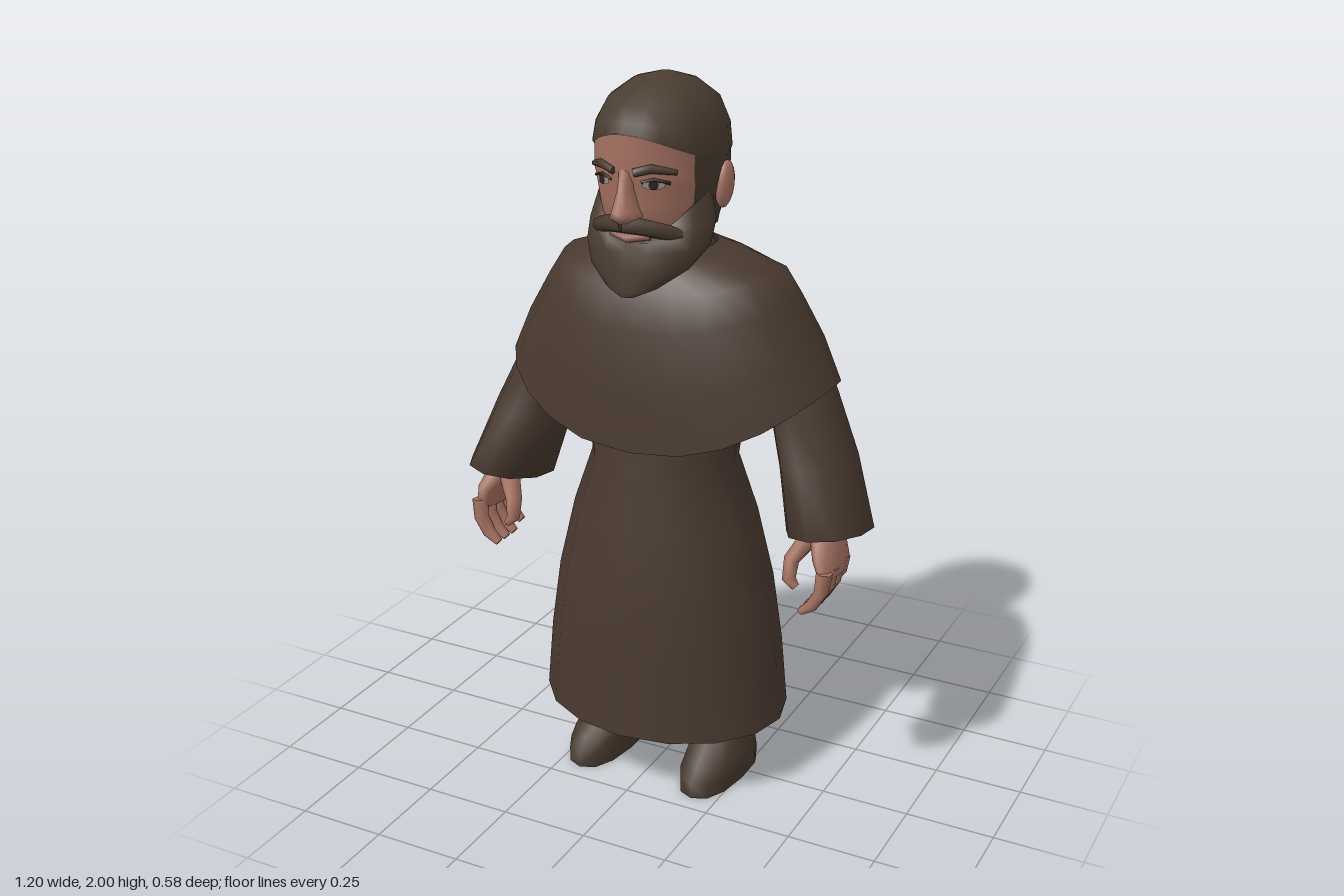
import * as THREE from 'three';

const material = (name, color, side = THREE.FrontSide) => {
  const m = new THREE.MeshStandardMaterial({ color, side });
  m.name = name;
  return m;
};

const uniform = n => Array.from({ length: n }, (_, i) => (i / n) * Math.PI * 2);

// Near-horizontal oval ring. y is a number or [front, side, back] heights.
function ring(angles, { y, rx, zf, zb, cx = 0, cz = 0, p = 1, tx = 0, tz = 0 }) {
  const [yf, ys, yb] = Array.isArray(y) ? y : [y, y, y];
  const pow = v => Math.sign(v) * Math.abs(v) ** p;
  return angles.map(a => {
    const s = Math.sin(a), c = Math.cos(a);
    const dx = rx * pow(s), dz = pow(c) * (c > 0 ? zf - cz : cz - zb);
    return new THREE.Vector3(cx + dx, ys + ((c > 0 ? yf : yb) - ys) * c * c + tx * dx + tz * dz, cz + dz);
  });
}

// Skin over rings listed bottom to top; pick(row, column) chooses a material slot.
function loft(rings, { bottom = false, top = false, pick = () => 0 } = {}) {
  const n = rings[0].length, pos = [], slots = [[], []];
  rings.forEach(r => r.forEach(v => pos.push(v.x, v.y, v.z)));
  for (let i = 0; i < rings.length - 1; i++) for (let j = 0; j < n; j++) {
    const a = i * n + j, b = i * n + (j + 1) % n;
    slots[pick(i, j)].push(a, b, a + n, b, b + n, a + n);
  }
  const cap = (r, up) => {
    const start = pos.length / 3;
    const mid = r.reduce((s, v) => s.add(v), new THREE.Vector3()).divideScalar(n);
    [...r, mid].forEach(v => pos.push(v.x, v.y, v.z));
    for (let j = 0; j < n; j++) {
      const a = start + j, b = start + (j + 1) % n;
      slots[0].push(...(up ? [a, b, start + n] : [b, a, start + n]));
    }
  };
  if (bottom) cap(rings[0], false);
  if (top) cap(rings[rings.length - 1], true);
  const g = new THREE.BufferGeometry();
  g.setAttribute('position', new THREE.Float32BufferAttribute(pos, 3));
  g.setIndex([...slots[0], ...slots[1]]);
  if (slots[1].length) {
    g.addGroup(0, slots[0].length, 0);
    g.addGroup(slots[0].length, slots[1].length, 1);
  }
  g.computeVertexNormals();
  return g;
}

// Tapered tube along points [x, y, z, radiusA, radiusB]; side is the direction of radiusB.
function limb(points, n, side = new THREE.Vector3(0, 0, 1)) {
  const c = points.map(p => new THREE.Vector3(p[0], p[1], p[2]));
  const rings = points.map((p, i) => {
    const t = c[Math.min(i + 1, c.length - 1)].clone().sub(c[Math.max(i - 1, 0)]).normalize();
    const u = t.clone().cross(side).normalize(), v = u.clone().cross(t);
    return uniform(n).map(a => c[i].clone().addScaledVector(u, Math.sin(a) * p[3]).addScaledVector(v, Math.cos(a) * p[4]));
  });
  return loft(rings, { bottom: true, top: true });
}

function mirrored(geometry) {
  const g = geometry.clone().scale(-1, 1, 1), ix = g.index.array;
  for (let i = 0; i < ix.length; i += 3) [ix[i], ix[i + 1]] = [ix[i + 1], ix[i]];
  return g;
}

export function createModel() {
  const robe = material('robe brown', 0x49392f, THREE.DoubleSide);
  const hair = material('hair brown', 0x4a3c30);
  const skin = material('skin', 0xa97464);
  const lip = material('lip', 0x8e5a4e);
  const boot = material('boot brown', 0x46382d);
  const eyeWhite = material('eye white', 0x9a8a80);
  const iris = material('dark iris', 0x2a211c);

  const model = new THREE.Group();
  const add = (name, g, mat) => {
    const m = new THREE.Mesh(g, mat);
    m.name = name;
    model.add(m);
  };
  const pair = (name, g, mat) => {
    add('left' + name, g, mat);
    add('right' + name, mirrored(g), mat);
  };
  const rings = (angles, list) => list.map(r => ring(angles, r));
  const up = new THREE.Vector3(0, 1, 0);

  // Long robe, open at the hem
  add('robe', loft(rings(uniform(16), [
    { y: 0.2, rx: 0.36, zf: 0.288, zb: -0.288 },
    { y: 0.4, rx: 0.342, zf: 0.278, zb: -0.27 },
    { y: 0.6, rx: 0.312, zf: 0.264, zb: -0.25 },
    { y: 0.8, rx: 0.262, zf: 0.24, zb: -0.215 },
    { y: 0.96, rx: 0.205, zf: 0.208, zb: -0.175 },
    { y: 1.08, rx: 0.22, zf: 0.2, zb: -0.19 },
    { y: 1.28, rx: 0.25, zf: 0.17, zb: -0.19 },
    { y: 1.46, rx: 0.18, zf: 0.11, zb: -0.14 },
  ])), robe);

  // Shoulder cape with a curved hem
  add('cape', loft(rings(uniform(24), [
    { y: [1.03, 1.21, 1.035], rx: 0.475, zf: 0.226, zb: -0.26 },
    { y: [1.2, 1.325, 1.22], rx: 0.422, zf: 0.216, zb: -0.255 },
    { y: [1.36, 1.43, 1.38], rx: 0.36, zf: 0.195, zb: -0.218 },
    { y: [1.45, 1.502, 1.47], rx: 0.315, zf: 0.165, zb: -0.18 },
    { y: [1.5, 1.54, 1.54], rx: 0.2, zf: 0.135, zb: -0.145 },
    { y: [1.53, 1.552, 1.57], rx: 0.12, zf: 0.1, zb: -0.12 },
  ].map(r => ({ cz: -0.055, p: 0.88, ...r })))), robe);

  // Collar and neck
  add('collar', loft(rings(uniform(14), [
    { y: [1.5, 1.53, 1.54], rx: 0.14, zf: 0.125, zb: -0.14 },
    { y: [1.55, 1.575, 1.62], rx: 0.108, zf: 0.085, zb: -0.105 },
    { y: [1.52, 1.55, 1.59], rx: 0.09, zf: 0.06, zb: -0.085 },
  ])), robe);
  add('neck', loft(rings(uniform(12), [
    { y: 1.48, rx: 0.1, zf: 0.075, zb: -0.095 },
    { y: 1.7, rx: 0.098, zf: 0.075, zb: -0.095 },
  ])), skin);

  // Wide sleeves, closed inside the cuff
  pair('Sleeve', loft(rings(uniform(10), [
    { cx: 0.475, y: 0.89, cz: 0.015, rx: 0.07, zf: 0.11, zb: -0.08 },
    { cx: 0.495, y: 0.825, cz: 0.01, rx: 0.112, zf: 0.168, zb: -0.15, tx: 0.13, tz: 0.16 },
    { cx: 0.44, y: 1.0, cz: -0.03, rx: 0.1, zf: 0.11, zb: -0.172, tx: 0.25, tz: 0.08 },
    { cx: 0.385, y: 1.15, cz: -0.05, rx: 0.086, zf: 0.07, zb: -0.172, tx: 0.35 },
    { cx: 0.31, y: 1.33, cz: -0.06, rx: 0.085, zf: 0.05, zb: -0.16, tx: 0.3 },
    { cx: 0.24, y: 1.43, cz: -0.06, rx: 0.07, zf: 0.02, zb: -0.13 },
  ]), { bottom: true }), robe);

  // Curled hands
  pair('Palm', limb([
    [0.53, 0.725, 0.07, 0.022, 0.08],
    [0.522, 0.77, 0.065, 0.034, 0.09],
    [0.495, 0.84, 0.035, 0.045, 0.062],
    [0.485, 0.91, 0.03, 0.035, 0.045],
  ], 10), skin);
  for (let k = 0; k < 4; k++) {
    const z = 0.138 - k * 0.042, e = k === 3 ? 0.02 : 0;
    pair('Finger' + (k + 1), limb([
      [0.47, 0.632 + e, z, 0.011, 0.014],
      [0.503, 0.658 + e, z, 0.018, 0.021],
      [0.527, 0.7 + e / 2, z, 0.02, 0.023],
      [0.532, 0.755, z - 0.004, 0.022, 0.024],
    ], 6), skin);
  }
  pair('Thumb', limb([
    [0.448, 0.692, 0.125, 0.011, 0.013],
    [0.428, 0.712, 0.125, 0.018, 0.02],
    [0.43, 0.765, 0.115, 0.022, 0.026],
    [0.47, 0.83, 0.075, 0.03, 0.035],
  ], 6), skin);

  // Boots and legs
  pair('Boot', loft(rings(uniform(14), [
    { cx: 0.18, y: 0, rx: 0.086, zf: 0.203, zb: -0.125 },
    { cx: 0.18, y: 0.045, rx: 0.086, zf: 0.203, zb: -0.123 },
    { cx: 0.18, y: 0.08, rx: 0.08, zf: 0.165, zb: -0.12 },
    { cx: 0.172, y: 0.125, rx: 0.07, zf: 0.075, zb: -0.115 },
    { cx: 0.163, y: 0.16, rx: 0.058, zf: 0.043, zb: -0.11 },
    { cx: 0.16, y: 0.22, rx: 0.054, zf: 0.04, zb: -0.112 },
    { cx: 0.15, y: 0.6, rx: 0.075, zf: 0.07, zb: -0.11 },
  ].map(r => ({ cz: -0.02, p: 0.85, ...r }))), { bottom: true, top: true }), boot);

  // Head: hair all round, face in the front columns
  const half = [0, 15, 30, 45, 58, 75, 95, 115, 137, 158];
  const headAngles = [...half, 180, ...half.slice(1).reverse().map(d => 360 - d)].map(THREE.MathUtils.degToRad);
  add('head', loft(rings(headAngles, [
    { y: [1.57, 1.59, 1.63], rx: 0.1, zf: 0.15, zb: -0.08 },
    { y: [1.6, 1.62, 1.65], rx: 0.145, zf: 0.2, zb: -0.1 },
    { y: 1.7, rx: 0.16, zf: 0.218, zb: -0.135 },
    { y: [1.755, 1.74, 1.75], rx: 0.167, zf: 0.225, zb: -0.15 },
    { y: [1.795, 1.76, 1.785], rx: 0.168, zf: 0.24, zb: -0.156 },
    { y: [1.88, 1.8, 1.82], rx: 0.169, zf: 0.236, zb: -0.157 },
    { y: [1.885, 1.81, 1.83], rx: 0.173, zf: 0.245, zb: -0.157 },
    { y: [1.91, 1.875, 1.88], rx: 0.168, zf: 0.225, zb: -0.148 },
    { y: 1.942, rx: 0.14, zf: 0.18, zb: -0.122 },
    { y: 1.983, rx: 0.085, zf: 0.1, zb: -0.07 },
    { y: 2, rx: 0.02, zf: 0.03, zb: -0.015 },
  ]), { bottom: true, top: true, pick: (i, j) => (i > 0 && i < 5 && (j < 4 || j > 15) ? 1 : 0) }), [hair, skin]);

  // Pointed beard
  add('beard', loft(rings(uniform(18), [
    { y: 1.462, rx: 0.022, zf: 0.238, zb: 0.2, cz: 0.22 },
    { y: [1.475, 1.485, 1.495], rx: 0.075, zf: 0.242, zb: 0.16, cz: 0.19 },
    { y: [1.53, 1.53, 1.545], rx: 0.138, zf: 0.238, zb: 0.11, cz: 0.15 },
    { y: [1.58, 1.585, 1.59], rx: 0.172, zf: 0.232, zb: 0.05, cz: 0.09 },
    { y: [1.6, 1.65, 1.64], rx: 0.173, zf: 0.222, zb: 0.02, cz: 0.06 },
    { y: [1.6, 1.72, 1.66], rx: 0.155, zf: 0.19, zb: 0.02, cz: 0.05 },
  ]), { bottom: true, top: true }), hair);

  // Moustache, lip and nose
  pair('Moustache', limb([
    [0, 1.656, 0.238, 0.022, 0.024],
    [0.05, 1.65, 0.226, 0.023, 0.022],
    [0.1, 1.63, 0.18, 0.018, 0.02],
    [0.145, 1.61, 0.135, 0.006, 0.008],
  ], 8, up), hair);
  add('lowerLip', limb([
    [-0.055, 1.618, 0.198, 0.008, 0.008],
    [0, 1.614, 0.22, 0.013, 0.012],
    [0.055, 1.618, 0.198, 0.008, 0.008],
  ], 6, up), lip);
  add('nose', loft(rings(uniform(10), [
    { y: 1.655, rx: 0.026, zf: 0.25, zb: 0.18, cz: 0.21 },
    { y: 1.673, rx: 0.041, zf: 0.282, zb: 0.18, cz: 0.215 },
    { y: 1.69, rx: 0.034, zf: 0.278, zb: 0.18, cz: 0.215 },
    { y: 1.745, rx: 0.021, zf: 0.256, zb: 0.18, cz: 0.21 },
    { y: 1.8, rx: 0.022, zf: 0.238, zb: 0.18, cz: 0.21 },
  ]), { bottom: true, top: true }), skin);

  // Eyes, brows and ears
  const disc = (rx, ry, x, y, z) => new THREE.CircleGeometry(1, 12).scale(rx, ry, 1).rotateY(0.52).translate(x, y, z);
  pair('Eye', disc(0.03, 0.012, 0.072, 1.757, 0.212), eyeWhite);
  pair('Iris', disc(0.013, 0.012, 0.073, 1.757, 0.2145), iris);
  pair('UpperLid', limb([
    [0.042, 1.763, 0.222, 0.004, 0.004],
    [0.072, 1.771, 0.213, 0.005, 0.005],
    [0.106, 1.76, 0.186, 0.004, 0.004],
  ], 6, up), iris);
  pair('Brow', limb([
    [0.028, 1.789, 0.238, 0.008, 0.011],
    [0.07, 1.8, 0.222, 0.009, 0.012],
    [0.118, 1.786, 0.174, 0.007, 0.007],
  ], 6, up), hair);
  pair('Ear', new THREE.SphereGeometry(1, 10, 8).scale(0.018, 0.062, 0.034).rotateX(-0.15).rotateY(-0.25).translate(0.168, 1.725, 0.0), skin);

  return model;
}
